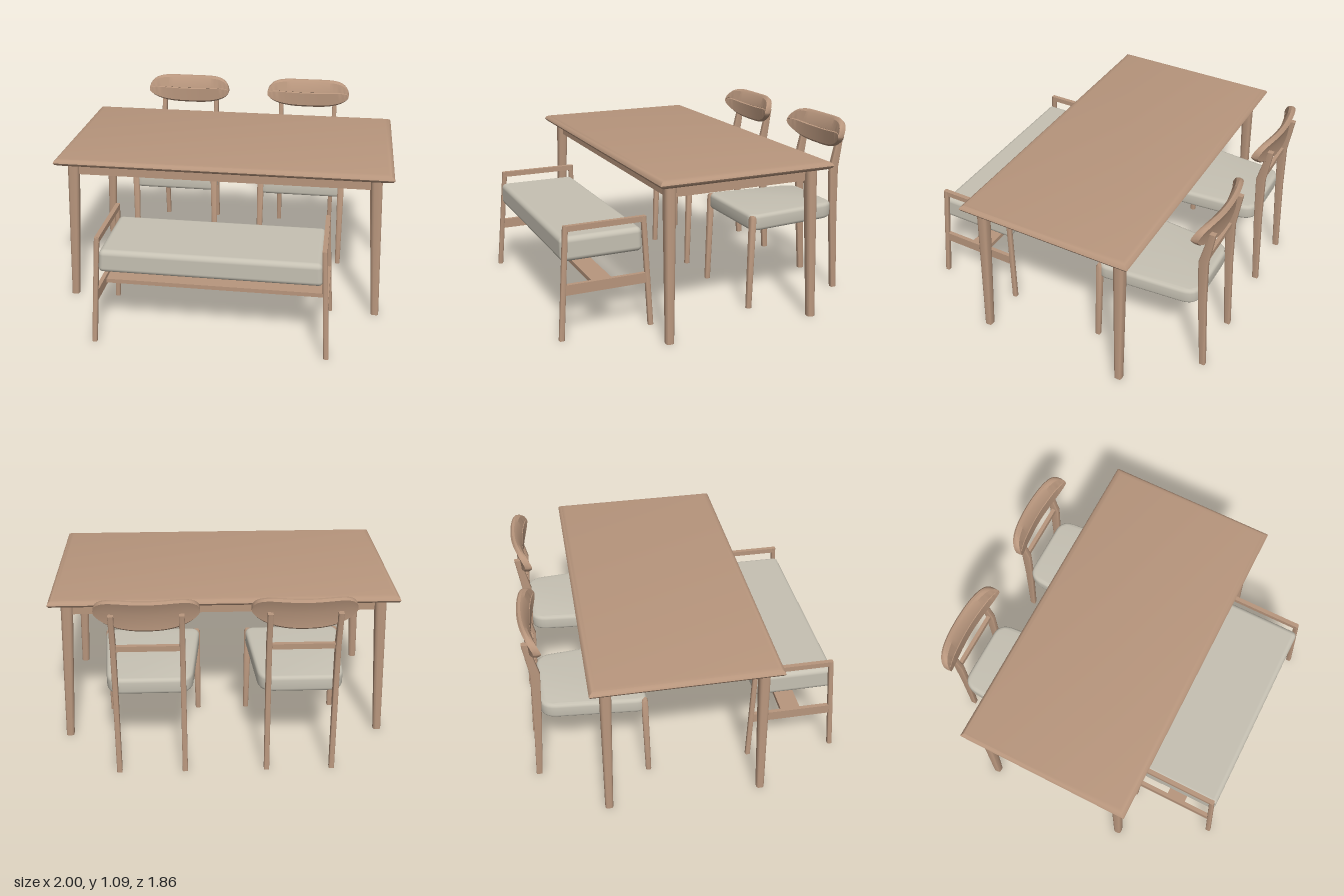
import * as THREE from 'three';
import { toCreasedNormals } from 'three/addons/utils/BufferGeometryUtils.js';
import { RoundedBoxGeometry } from 'three/addons/geometries/RoundedBoxGeometry.js';

const wood = new THREE.MeshStandardMaterial({ color: 0xb8967d });
wood.name = 'wood';
const fabric = new THREE.MeshStandardMaterial({ color: 0xc6c1b3 });
fabric.name = 'fabric';

function add(parent, name, geometry, material = wood) {
  const mesh = new THREE.Mesh(geometry, material);
  mesh.name = name;
  parent.add(mesh);
  return mesh;
}

// Closed skin over a row of rings, capped at both ends
function loft(rings, crease = 0.7) {
  const n = rings[0].length, index = [];
  for (let i = 0; i < rings.length - 1; i++) {
    for (let j = 0; j < n; j++) {
      const a = i * n + j, b = i * n + (j + 1) % n;
      index.push(a, b, b + n, a, b + n, a + n);
    }
  }
  const last = (rings.length - 1) * n;
  for (let j = 1; j < n - 1; j++) {
    index.push(0, j + 1, j, last, last + j, last + j + 1);
  }
  const g = new THREE.BufferGeometry();
  g.setAttribute('position', new THREE.Float32BufferAttribute(rings.flat(2), 3));
  g.setIndex(index);
  return toCreasedNormals(g, crease);
}

// Horizontal rectangle ring, corners rounded by r
function ring(cx, y, cz, w, d, r = 0) {
  const pts = [], steps = r ? 3 : 0;
  [[1, 1], [-1, 1], [-1, -1], [1, -1]].forEach(([sx, sz], k) => {
    for (let i = 0; i <= steps; i++) {
      const t = (k + (steps ? i / steps : 0)) * Math.PI / 2;
      pts.push([
        cx + sx * (w / 2 - r) + r * Math.cos(t), y,
        cz - sz * (d / 2 - r) - r * Math.sin(t),
      ]);
    }
  });
  return pts;
}

function bar(parent, name, w, h, d, x, y, z) {
  add(parent, name, new THREE.BoxGeometry(w, h, d)).position.set(x, y, z);
}

function makeTable() {
  const table = new THREE.Group();
  table.name = 'table';
  const cz = -0.07;

  // Top with a soft edge, as [inset, height]
  const edge = [[0.065, 0.88], [0.03, 0.886], [0.008, 0.897], [0, 0.91],
    [0.006, 0.922], [0.02, 0.931], [0.04, 0.935]];
  add(table, 'tableTop', loft(edge.map(([s, y]) => ring(0, y, cz, 2 - 2 * s, 1.062 - 2 * s))));

  // Apron frame
  for (const s of [-1, 1]) {
    bar(table, 'longApron', 1.76, 0.068, 0.03, 0, 0.848, cz + s * 0.43);
    bar(table, 'shortApron', 0.03, 0.068, 0.84, s * 0.885, 0.848, cz);
    // Tapered splayed legs
    for (const t of [-1, 1]) {
      add(table, 'tableLeg', loft([
        ring(s * 0.943, 0, cz + t * 0.455, 0.046, 0.046, 0.014),
        ring(s * 0.9, 0.882, cz + t * 0.438, 0.068, 0.065, 0.02),
      ]));
    }
  }
  return table;
}

function makeBench() {
  const bench = new THREE.Group();
  bench.name = 'bench';

  // Cushion, a little wider at the bottom
  const cushion = new RoundedBoxGeometry(1.26, 0.138, 0.485, 4, 0.03);
  const p = cushion.attributes.position;
  for (let i = 0; i < p.count; i++) p.setX(i, p.getX(i) * (1 - 0.12 * p.getY(i)));
  add(bench, 'benchCushion', cushion, fabric).position.set(0, 0.505, 0.647);

  bar(bench, 'benchStretcher', 1.3, 0.025, 0.12, 0, 0.283, 0.645);
  for (const s of [-1, 1]) {
    bar(bench, 'benchArm', 0.026, 0.032, 0.47, s * 0.634, 0.63, 0.633);
    bar(bench, 'benchSideRail', 0.024, 0.06, 0.5, s * 0.653, 0.286, 0.638);
    for (const [foot, head] of [[0.912, 0.861], [0.379, 0.404]]) {
      add(bench, 'benchLeg', loft([
        ring(s * 0.669, 0, foot, 0.03, 0.03, 0.008),
        ring(s * 0.634, 0.645, head, 0.028, 0.03, 0.008),
      ]));
    }
  }
  return bench;
}

// Curved backrest with a groove across the front
function makeBackrest() {
  const outline = [[0, 0.35], [0.07, 0], [0.54, 0], [0.93, 0], [1, 0.35], [1, 0.7], [0.93, 1],
    [0.57, 1], [0.55, 0.75], [0.53, 1], [0.07, 1], [0, 0.7]];
  const rings = [];
  for (let i = 0; i <= 28; i++) {
    const u = 0.998 * Math.sin((i / 28 - 0.5) * Math.PI), a = Math.abs(u);
    const top = 1.0 + (0.085 + 0.014 * u * u) * Math.sqrt(1 - a ** 5);
    const bottom = 0.995 - 0.097 * (1 - a ** 2.6) ** 0.6;
    rings.push(outline.map(([f, g]) => {
      const y = bottom + f * (top - bottom);
      const front = -0.822 - 0.045 * (1 - u * u) - 0.35 * Math.max(0, y - 1);
      return [u * 0.285, y, front - 0.042 * (1 - g)];
    }));
  }
  return loft(rings, 0.6);
}

// Seat cushion: rounded trapezoid, wider at the front
function makeSeat() {
  const b = 0.022, back = 0.86 - b, front = 0.25 + b, hb = 0.235 - b, hf = 0.284 - b, r = 0.04;
  const s = new THREE.Shape();
  s.moveTo(-hf + r, front);
  s.lineTo(hf - r, front);
  s.quadraticCurveTo(hf, front, hf - 0.003, front + r);
  s.lineTo(hb + 0.008, back - 0.07);
  s.quadraticCurveTo(hb, back, hb - 0.06, back);
  s.lineTo(-hb + 0.06, back);
  s.quadraticCurveTo(-hb, back, -hb - 0.008, back - 0.07);
  s.lineTo(-hf + 0.003, front + r);
  s.quadraticCurveTo(-hf, front, -hf + r, front);
  const g = new THREE.ExtrudeGeometry(s, {
    depth: 0.097 - 2 * b, bevelSize: b, bevelThickness: b, bevelSegments: 4, curveSegments: 6,
  });
  g.rotateX(-Math.PI / 2);
  g.translate(0, 0.48 + b, 0);
  return toCreasedNormals(g, 0.7);
}

function makeChair(x) {
  const chair = new THREE.Group();
  chair.name = 'chair';
  chair.position.x = x;
  add(chair, 'chairSeat', makeSeat(), fabric);
  add(chair, 'chairBackrest', makeBackrest());
  bar(chair, 'chairCrossRail', 0.36, 0.032, 0.024, 0, 0.782, -0.868);
  for (const s of [-1, 1]) {
    add(chair, 'chairFrontLeg', loft([
      ring(s * 0.27, 0, -0.25, 0.032, 0.032, 0.01),
      ring(s * 0.265, 0.555, -0.265, 0.042, 0.038, 0.012),
      ring(s * 0.265, 0.57, -0.265, 0.03, 0.026, 0.01),
    ]));
    // Back leg bends backwards above the seat
    add(chair, 'chairBackLeg', loft([
      ring(s * 0.188, 0, -0.911, 0.03, 0.036, 0.006),
      ring(s * 0.188, 0.5, -0.879, 0.03, 0.048, 0.006),
      ring(s * 0.188, 0.785, -0.868, 0.03, 0.056, 0.006),
      ring(s * 0.188, 1.0, -0.908, 0.03, 0.036, 0.006),
    ]));
  }
  return chair;
}

export function createModel() {
  const model = new THREE.Group();
  model.name = 'diningSet';
  model.add(makeTable(), makeBench(), makeChair(-0.417), makeChair(0.428));
  return model;
}
